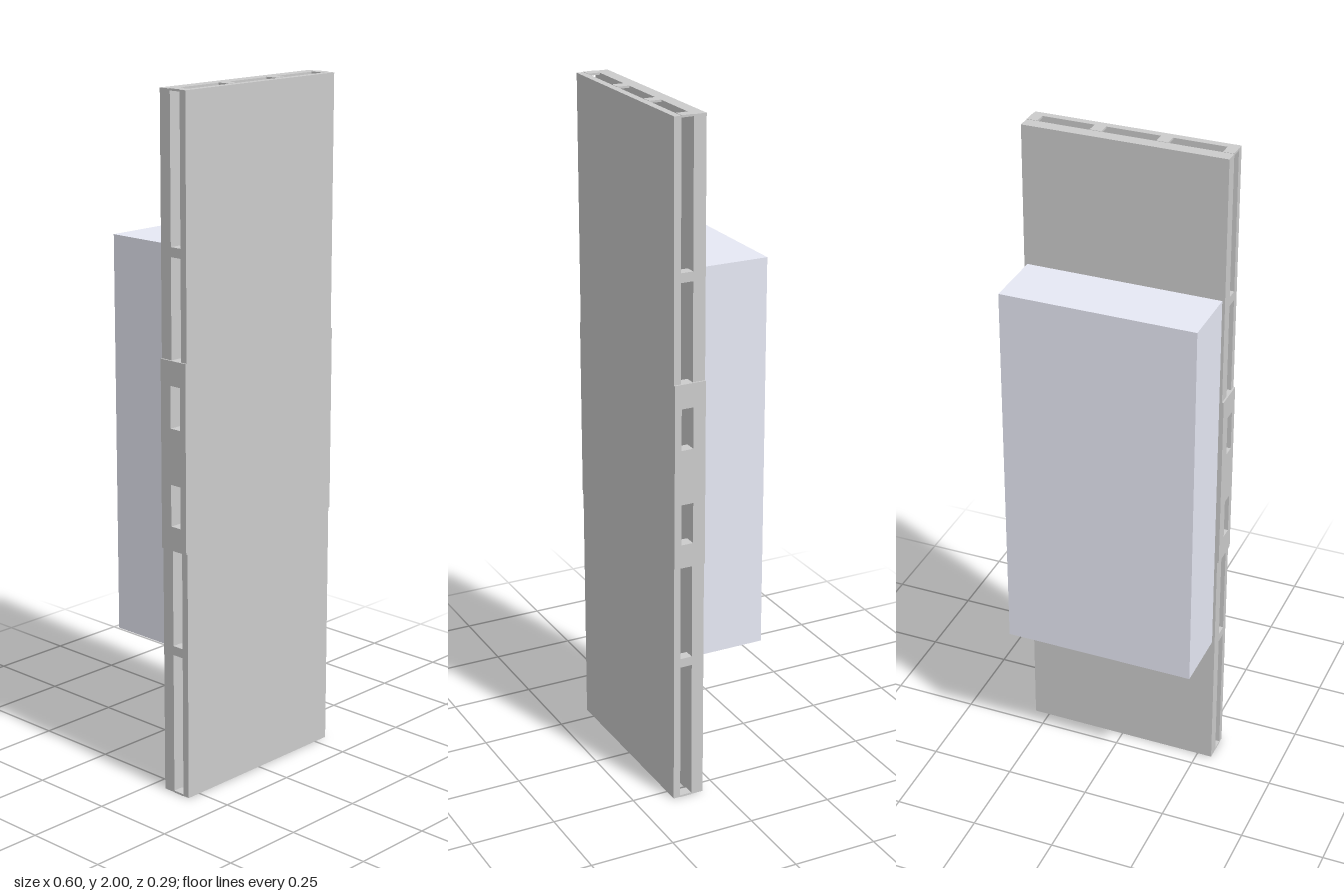
import * as THREE from 'three';

const grey = new THREE.MeshStandardMaterial({ color: 0xcccccc, flatShading: true });
const pale = new THREE.MeshStandardMaterial({ color: 0xe7e9f5, flatShading: true });

// depth of the hollow between the two decks
const GAP_BACK = 0.085, GAP_FRONT = 0.121;

export function createModel() {
  const model = new THREE.Group();

  // box given by its lower and upper limits on each axis
  const block = (name, [x0, x1], [y0, y1], [z0, z1], material = grey) => {
    const mesh = new THREE.Mesh(new THREE.BoxGeometry(x1 - x0, y1 - y0, z1 - z0), material);
    mesh.position.set((x0 + x1) / 2, (y0 + y1) / 2, (z0 + z1) / 2);
    mesh.name = name;
    model.add(mesh);
  };

  // two flat decks with the load on the back one
  block('frontDeck', [-0.295, 0.295], [0.001, 1.999], [GAP_FRONT, 0.142]);
  block('backDeck', [-0.295, 0.295], [0.001, 1.999], [0.048, GAP_BACK]);
  block('load', [-0.287, 0.286], [0.44, 1.585], [-0.143, 0.048], pale);

  // columns of spacers standing between the decks
  const gap = [GAP_BACK, GAP_FRONT];
  const columns = [[-0.295, -0.264], [-0.112, -0.078], [0.078, 0.112], [0.264, 0.295]];
  columns.forEach((x, i) => {
    const inner = i === 1 || i === 2;
    const half = [[0.92, 1.0], [0.73, 0.8], [0.42, 0.447], [0, 0.006]];
    if (inner) half.push([0.648, 0.664], [0.218, 0.234]);
    for (const [a, b] of half) {
      block('spacer', x, [a, b], gap);
      block('spacer', x, [2 - b, 2 - a], gap);
    }
  });

  // thin side plates with two openings each
  const plate = new THREE.Shape();
  plate.moveTo(0.048, 0.73).lineTo(0.142, 0.73).lineTo(0.142, 1.27).lineTo(0.048, 1.27).closePath();
  for (const [a, b] of [[0.8, 0.92], [1.08, 1.2]]) {
    const hole = new THREE.Path();
    hole.moveTo(GAP_BACK, a).lineTo(GAP_BACK, b).lineTo(GAP_FRONT, b).lineTo(GAP_FRONT, a).closePath();
    plate.holes.push(hole);
  }
  const plateGeometry = new THREE.ExtrudeGeometry(plate, { depth: 0.005, bevelEnabled: false });
  plateGeometry.rotateY(-Math.PI / 2); // shape x becomes z, thickness runs along -x
  for (const x of [-0.295, 0.3]) {
    const mesh = new THREE.Mesh(plateGeometry, grey);
    mesh.position.x = x;
    mesh.name = 'sidePlate';
    model.add(mesh);
  }
  return model;
}
